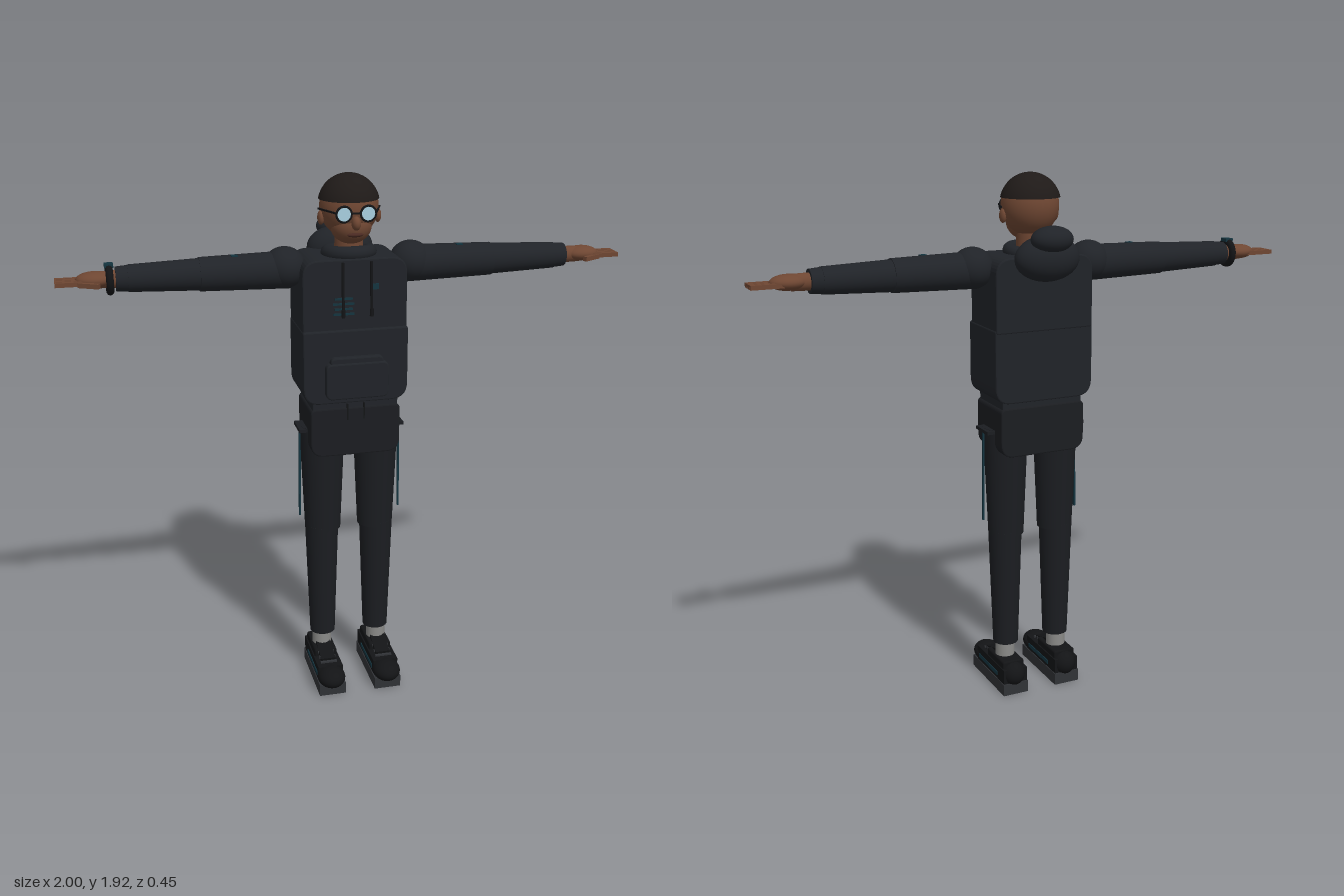
import * as THREE from 'three';

const mat = (color) => new THREE.MeshStandardMaterial({ color });
const cloth = mat(0x202328), pants = mat(0x1b1d21), black = mat(0x131416), skin = mat(0x6e4632),
  lips = mat(0x4a2a22), knit = mat(0x1f1a18), grey = mat(0x8a8a88), soleGrey = mat(0x303236),
  teal = mat(0x14343f), glass = mat(0xa9cfe0);

export function createModel() {
  const model = new THREE.Group();

  const add = (name, geometry, material, x = 0, y = 0, z = 0, parent = model) => {
    const mesh = new THREE.Mesh(geometry, material);
    mesh.name = name;
    mesh.position.set(x, y, z);
    parent.add(mesh);
    return mesh;
  };
  const box = (w, h, d) => new THREE.BoxGeometry(w, h, d);
  const ball = (rx, ry, rz) => new THREE.SphereGeometry(1, 28, 18).scale(rx, ry, rz);
  const tube = (rTop, rBottom, h) => new THREE.CylinderGeometry(rTop, rBottom, h, 28);
  const alongX = (rInner, rOuter, l) => tube(rOuter, rInner, l).rotateZ(-Math.PI / 2);

  // Panel with rounded outline in x/y, extruded through z; separate top and bottom corner radii
  const panel = (w, h, d, rt, rb) => {
    const a = w / 2, b = h / 2, s = new THREE.Shape();
    s.moveTo(-a + rb, -b);
    s.lineTo(a - rb, -b);
    s.quadraticCurveTo(a, -b, a, -b + rb);
    s.lineTo(a, b - rt);
    s.quadraticCurveTo(a, b, a - rt, b);
    s.lineTo(-a + rt, b);
    s.quadraticCurveTo(-a, b, -a, b - rt);
    s.lineTo(-a, -b + rb);
    s.quadraticCurveTo(-a, -b, -a + rb, -b);
    const e = 0.005;
    return new THREE.ExtrudeGeometry(s, {
      depth: d - 2 * e, bevelThickness: e, bevelSize: e, bevelOffset: -e, bevelSegments: 2, curveSegments: 8,
    }).translate(0, 0, e - d / 2);
  };

  // Torso
  add('chest', panel(0.37, 0.26, 0.22, 0.06, 0.01), cloth, 0, 1.515, -0.011);
  add('belly', panel(0.375, 0.265, 0.23, 0.01, 0.06), cloth, 0, 1.267, -0.003);
  add('waistband', panel(0.31, 0.06, 0.205, 0.01, 0.01), cloth, 0, 1.125, 0);
  add('hips', panel(0.325, 0.18, 0.215, 0.02, 0.05), pants, 0, 1.025, 0);
  add('pouch', panel(0.225, 0.13, 0.035, 0.025, 0.025), cloth, 0, 1.222, 0.122);
  add('pouchFlap', panel(0.19, 0.03, 0.03, 0.02, 0.005), cloth, 0, 1.292, 0.118);
  for (let i = 0; i < 4; i++) {
    add('chestStripe', box(0.075 - 0.012 * (i % 2), 0.007, 0.006), teal, -0.042, 1.455 + i * 0.018, 0.101);
  }
  add('chestPatch', box(0.025, 0.02, 0.006), teal, 0.07, 1.547, 0.101);

  // Collar and folded hood
  const collar = add('collar', new THREE.TorusGeometry(0.072, 0.026, 12, 32).rotateX(Math.PI / 2), cloth, 0, 1.65, 0);
  collar.rotation.x = -0.1;
  add('hoodBase', ball(0.12, 0.08, 0.072), cloth, 0, 1.64, -0.135);
  add('hoodTop', ball(0.077, 0.046, 0.056), cloth, 0, 1.708, -0.172);

  // Head
  add('neck', tube(0.048, 0.052, 0.12), skin, 0, 1.67, 0);
  add('skull', ball(0.102, 0.107, 0.103), skin, 0, 1.808, 0.003);
  add('jaw', ball(0.072, 0.062, 0.07), skin, 0, 1.748, 0.032);
  add('beanie', new THREE.SphereGeometry(0.107, 32, 14, 0, Math.PI * 2, 0, 1.365), knit, 0, 1.814, 0);
  add('beanieUnderside', new THREE.CircleGeometry(0.1048, 32).rotateX(Math.PI / 2), knit, 0, 1.836, 0);
  add('nose', ball(0.016, 0.024, 0.022), skin, 0, 1.768, 0.108);
  add('mouth', ball(0.028, 0.008, 0.01), lips, 0, 1.727, 0.096);
  add('glassesBridge', box(0.035, 0.006, 0.006), black, 0, 1.802, 0.11);

  // Legs, arms and face details, mirrored
  for (const s of [1, -1]) {
    add('ear', ball(0.012, 0.025, 0.018), skin, s * 0.1, 1.775, 0.01);
    add('lens', tube(0.025, 0.025, 0.006).rotateX(Math.PI / 2), glass, s * 0.042, 1.8, 0.108);
    add('glassesFrame', new THREE.TorusGeometry(0.026, 0.004, 8, 28), black, s * 0.042, 1.8, 0.109);
    const temple = add('glassesTemple', box(0.005, 0.006, 0.11), black, s * 0.089, 1.805, 0.058);
    temple.rotation.y = -s * 0.35;

    const cord = add('drawstring', tube(0.005, 0.005, 0.19), black, s * 0.05, 1.545, 0.127);
    cord.rotation.x = -0.05;
    add('drawstringTip', tube(0.007, 0.007, 0.025), black, s * 0.05, 1.465, 0.131);
    add('waistTie', box(0.005, 0.06, 0.006), black, s * 0.03, 1.1, 0.106);

    // Leg
    const thigh = add('thigh', tube(0.077, 0.061, 0.41), pants, s * 0.1, 0.82, 0);
    thigh.scale.x = 1.08;
    add('shin', tube(0.062, 0.047, 0.45), pants, s * 0.104, 0.405, 0);
    add('pocketTop', box(0.03, 0.012, 0.1), pants, s * 0.178, 1.018, 0);
    add('legStripe', box(0.006, 0.34, 0.01), teal, s * 0.186, 0.845, 0.008).rotation.z = s * 0.012;
    add('sock', tube(0.036, 0.036, 0.12), grey, s * 0.107, 0.14, 0);

    // Shoe
    const shoe = new THREE.Group();
    shoe.name = 'shoe';
    shoe.position.x = s * 0.107;
    model.add(shoe);
    add('sole', box(0.1, 0.045, 0.29), soleGrey, 0, 0.0225, 0.045, shoe);
    add('shoeBody', box(0.094, 0.06, 0.25), black, 0, 0.07, 0.03, shoe);
    add('toeCap', ball(0.052, 0.038, 0.062), black, 0, 0.065, 0.165, shoe);
    add('heel', ball(0.047, 0.048, 0.055), black, 0, 0.075, -0.065, shoe);
    add('shoeCollar', panel(0.085, 0.035, 0.15, 0.01, 0.005), black, 0, 0.11, -0.005, shoe);
    const tongue = add('tongue', box(0.055, 0.012, 0.11), black, 0, 0.122, 0.06, shoe);
    tongue.rotation.x = 0.28;
    for (let i = 0; i < 3; i++) add('lace', box(0.062, 0.008, 0.01), soleGrey, 0, 0.118 - i * 0.008, 0.07 + i * 0.026, shoe);
    for (const side of [1, -1]) add('shoeStripe', box(0.004, 0.015, 0.17), teal, side * 0.048, 0.066, 0.05, shoe);

    // Arm, built toward +x and turned around for the right side
    const arm = new THREE.Group();
    arm.name = s > 0 ? 'leftArm' : 'rightArm';
    arm.position.y = 1.597;
    model.add(arm);
    add('shoulder', ball(0.075, 0.072, 0.074), cloth, s * 0.225, 0.008, -0.01, arm);
    const sleeve = (name, r1, r2, x1, x2, m) =>
      add(name, s > 0 ? alongX(r1, r2, x2 - x1) : alongX(r2, r1, x2 - x1), m, s * (x1 + x2) / 2, 0, -0.008, arm);
    sleeve('upperArm', 0.065, 0.058, 0.21, 0.52, cloth);
    sleeve('forearm', 0.055, 0.046, 0.51, 0.76, cloth);
    sleeve('cuff', 0.046, 0.041, 0.74, 0.8, cloth);
    sleeve('wrist', 0.03, 0.028, 0.78, 0.86, skin);
    add('sleevePatch', box(0.022, 0.004, 0.02), teal, s * 0.4, 0.06, 0.004, arm);
    add('palm', ball(0.062, 0.027, 0.045), skin, s * 0.87, 0.002, -0.008, arm);
    for (let i = 0; i < 4; i++) {
      add('finger', box(0.11, 0.015, 0.016), skin, s * 0.945, -0.003, -0.039 + i * 0.021, arm);
    }
    const thumb = add('thumb', box(0.075, 0.016, 0.016), skin, s * 0.89, -0.006, 0.044, arm);
    thumb.rotation.y = s * 0.5;
  }

  // Watch on the right wrist
  add('watchStrap', new THREE.TorusGeometry(0.041, 0.013, 10, 28).rotateY(Math.PI / 2), black, -0.82, 1.597, -0.008);
  add('watchFace', box(0.03, 0.012, 0.035), teal, -0.82, 1.645, -0.008);
  return model;
}
